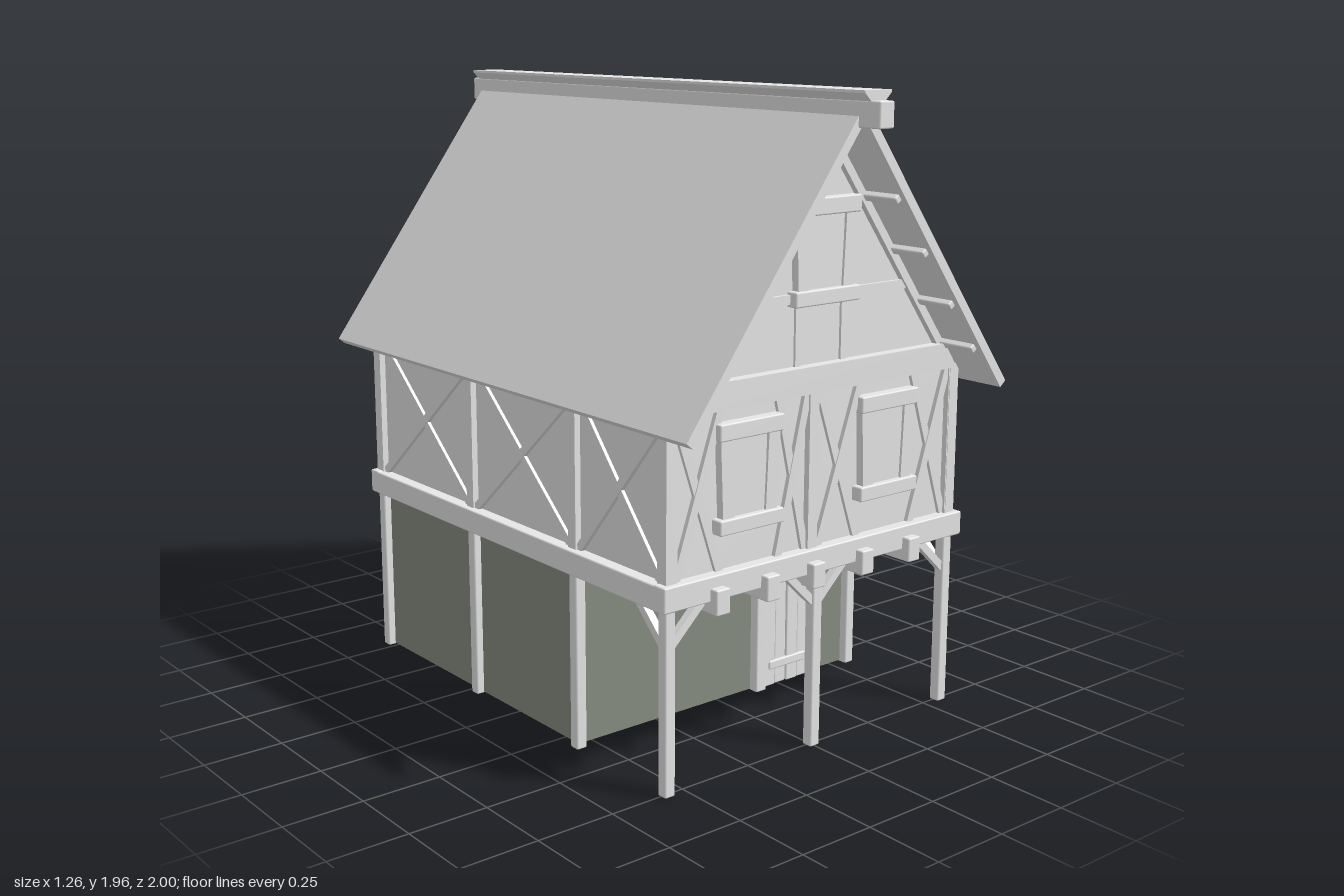
import * as THREE from 'three';
import { RoundedBoxGeometry } from 'three/addons/geometries/RoundedBoxGeometry.js';

const plaster = new THREE.MeshStandardMaterial({ color: 0xe7e7e7 });
plaster.name = 'pale timber and plaster';
const stone = new THREE.MeshStandardMaterial({ color: 0x878e81, side: THREE.DoubleSide });
stone.name = 'grey green wall';

function add(parent, name, geometry, material = plaster) {
  const mesh = new THREE.Mesh(geometry, material);
  mesh.name = name;
  parent.add(mesh);
  return mesh;
}

// Softly bevelled box given by its limits on each axis
function block(parent, name, [x0, x1], [y0, y1], [z0, z1]) {
  const size = [x1 - x0, y1 - y0, z1 - z0];
  const mesh = add(parent, name, new RoundedBoxGeometry(...size, 1, Math.min(0.005, Math.min(...size) / 4)));
  mesh.position.set((x0 + x1) / 2, (y0 + y1) / 2, (z0 + z1) / 2);
  return mesh;
}

// Timber between two points on a wall face, standing out from the wall by depth
function timber(parent, name, [x0, y0], [x1, y1], width, depth) {
  const length = Math.hypot(x1 - x0, y1 - y0);
  const mesh = add(parent, name, new THREE.BoxGeometry(length, width, depth * 2));
  mesh.position.set((x0 + x1) / 2, (y0 + y1) / 2, 0);
  mesh.rotation.z = Math.atan2(y1 - y0, x1 - x0);
  return mesh;
}

// Closed outline extruded along z
function prism(parent, name, points, z0, z1) {
  const shape = new THREE.Shape(points.map(([x, y]) => new THREE.Vector2(x, y)));
  const geometry = new THREE.ExtrudeGeometry(shape, { depth: z1 - z0, bevelEnabled: false });
  return add(parent, name, geometry.translate(0, 0, z0));
}

// Crossed diagonal braces between two uprights
function cross(face, x0, x1, top) {
  timber(face, 'crossBrace', [x0, 0.63], [x1, top], 0.026, 0.014);
  timber(face, 'crossBrace', [x0, top], [x1, 0.63], 0.026, 0.011);
}

// Shuttered window with heavy lintel and sill
function windowFrame(face, x, y0, y1, half) {
  const w = new THREE.Group();
  w.name = 'window';
  face.add(w);
  block(w, 'lintel', [x - half, x + half], [y1 - 0.05, y1], [-0.01, 0.035]);
  block(w, 'sill', [x - half, x + half], [y0, y0 + 0.045], [-0.01, 0.038]);
  for (const s of [-1, 1]) {
    timber(w, 'jamb', [x + s * (half - 0.04), y0 + 0.04], [x + s * (half - 0.03), y1 - 0.045], 0.042, 0.026);
  }
  block(w, 'shutter', [x - half + 0.05, x + half - 0.05], [y0 + 0.04, y1 - 0.045], [-0.01, 0.018]);
}

export function createModel() {
  const house = new THREE.Group();
  house.name = 'timberFrameHouse';
  const FRONT = 0.755, BACK = -0.78, SIDE = 0.56;

  // Upper storey and attic
  prism(house, 'upperWalls', [[-SIDE, 0.585], [SIDE, 0.585], [SIDE, 1.105], [0, 1.87], [-SIDE, 1.105]], BACK, FRONT);

  // Ground floor walls, open below
  const corners = [[-0.555, 0.325], [0.555, 0.325], [0.555, BACK], [-0.555, BACK]];
  corners.forEach(([x, z], i) => {
    const [nx, nz] = corners[(i + 1) % 4];
    const wall = add(house, 'groundWall', new THREE.PlaneGeometry(Math.hypot(nx - x, nz - z), 0.58), stone);
    wall.position.set((x + nx) / 2, 0.295, (z + nz) / 2);
    wall.rotation.y = i * Math.PI / 2;
  });

  // Ground floor posts
  for (const z of [0.755, 0.335, -0.215, -0.78]) {
    for (const x of [-0.562, 0, 0.562]) {
      if (x === 0 && (z === -0.215 || z === 0.335)) continue;
      block(house, 'groundPost', [x - 0.018, x + 0.018], [0, 0.57], [z - 0.018, z + 0.018]);
    }
  }

  // Belt beams and floor joists
  for (const s of [-1, 1]) {
    block(house, 'sideBelt', [s * 0.575 - 0.025, s * 0.575 + 0.025], [0.555, 0.63], [-0.81, 0.79]);
  }
  block(house, 'frontBelt', [-0.6, 0.6], [0.557, 0.632], [0.74, 0.792]);
  block(house, 'backBelt', [-0.6, 0.6], [0.557, 0.632], [-0.812, -0.765]);
  for (const x of [-0.41, -0.22, -0.04, 0.16, 0.36]) {
    block(house, 'joist', [x - 0.025, x + 0.025], [0.522, 0.598], [-0.83, 0.82]);
  }

  // Knee braces under the overhang
  const knees = new THREE.Group();
  knees.name = 'kneeBraces';
  knees.position.z = 0.755;
  house.add(knees);
  for (const [x, s] of [[-0.55, 1], [0, -1], [0, 1], [0.55, -1]]) {
    timber(knees, 'kneeBrace', [x, 0.45], [x + s * 0.12, 0.565], 0.024, 0.012);
  }
  for (const s of [-1, 1]) {
    const side = new THREE.Group();
    side.name = 'sideKnee';
    side.position.x = s * 0.56;
    side.rotation.y = Math.PI / 2;
    house.add(side);
    timber(side, 'kneeBrace', [-0.75, 0.44], [-0.62, 0.565], 0.024, 0.012);
  }

  // One group per wall face: x runs along the wall, z points outward
  const face = (name, x, z, turn) => {
    const g = new THREE.Group();
    g.name = name;
    g.position.set(x, 0, z);
    g.rotation.y = turn;
    house.add(g);
    return g;
  };
  const front = face('frontFraming', 0, FRONT, 0);
  const back = face('backFraming', 0, BACK, Math.PI);
  const right = face('plusSideFraming', SIDE, 0, Math.PI / 2);
  const left = face('minusSideFraming', -SIDE, 0, -Math.PI / 2);

  // Upper posts
  for (const x of [-0.562, -0.03, 0.562]) timber(front, 'upperPost', [x, 0.62], [x, 1.11], 0.037, 0.02);
  for (const x of [-0.562, 0, 0.562]) timber(back, 'upperPost', [x, 0.62], [x, 1.11], 0.037, 0.02);
  for (const z of [0.755, 0.335, -0.215, -0.78]) {
    timber(right, 'upperPost', [-z, 0.62], [-z, 1.11], 0.037, 0.02);
    timber(left, 'upperPost', [z, 0.62], [z, 1.11], 0.037, 0.02);
  }

  // Front: narrow crosses beside two windows
  for (const [a, b] of [[-0.54, -0.38], [-0.16, -0.05], [0, 0.16], [0.39, 0.54]]) cross(front, a, b, 1.1);
  windowFrame(front, -0.28, 0.74, 1.06, 0.12);
  windowFrame(front, 0.27, 0.74, 1.06, 0.12);

  // Back: two broad crosses
  cross(back, -0.54, -0.02, 1.1);
  cross(back, 0.02, 0.54, 1.1);

  // Side with windows, side without
  for (const [a, b] of [[-0.735, -0.355], [-0.315, -0.14], [0.14, 0.2], [0.23, 0.33], [0.59, 0.76]]) cross(right, a, b, 1.08);
  windowFrame(right, 0, 0.73, 1.055, 0.135);
  windowFrame(right, 0.45, 0.73, 1.055, 0.135);
  for (const [a, b] of [[-0.76, -0.235], [-0.195, 0.315], [0.355, 0.735]]) cross(left, a, b, 1.08);

  // Gables
  for (const g of [front, back]) {
    prism(g, 'gableTieBeam', [[-0.555, 1.1], [0.555, 1.1], [0.5, 1.18], [-0.5, 1.18]], -0.01, 0.035);
    timber(g, 'collarBeam', [-0.34, 1.377], [0.34, 1.377], 0.028, 0.012);
    for (const s of [-1, 1]) {
      timber(g, 'gableStud', [s * 0.09, 1.17], [s * 0.09, 1.37], 0.02, 0.008);
      timber(g, 'gableRafter', [s * 0.505, 1.165], [0, 1.855], 0.026, 0.02);
    }
    windowFrame(g, 0, 1.355, 1.66, 0.127);
  }

  // Door in the recessed front wall
  const door = face('door', 0, 0.325, 0);
  block(door, 'doorLintel', [0.115, 0.44], [0.445, 0.49], [-0.01, 0.045]);
  block(door, 'doorJamb', [0.137, 0.18], [0, 0.45], [-0.01, 0.032]);
  block(door, 'doorJamb', [0.375, 0.418], [0, 0.45], [-0.01, 0.032]);
  for (let i = 0; i < 4; i++) {
    const x = 0.18 + i * 0.049;
    block(door, 'doorPlank', [x, x + 0.048], [0.004, 0.445], [-0.005, i % 2 ? 0.016 : 0.02]);
  }
  for (const y of [0.06, 0.36]) block(door, 'doorBatten', [0.2, 0.36], [y, y + 0.03], [0, 0.025]);

  // Roof slabs and the purlins beneath them
  for (const s of [-1, 1]) {
    const slab = [[0, 1.93], [s * 0.63, 1.07], [s * 0.608, 1.052], [0, 1.882]];
    prism(house, 'roofSlab', s > 0 ? slab.reverse() : slab, -0.95, 0.92);
    for (const x of [0.16, 0.28, 0.4, 0.505]) {
      const purlin = block(house, 'purlin', [-0.012, 0.012], [-0.012, 0.012], [-0.93, 0.9]);
      purlin.position.x = s * x;
      purlin.position.y = 1.87 - 1.365 * x;
      purlin.rotation.z = -s * 0.94;
    }
  }

  // Ridge beam with flared cap
  block(house, 'ridgeBeam', [-0.028, 0.028], [1.86, 1.935], [-1, 1]);
  prism(house, 'ridgeCap', [[-0.026, 1.932], [0.026, 1.932], [0.05, 1.955], [0.05, 1.963], [-0.05, 1.963], [-0.05, 1.955]], -0.965, 0.965);

  return house;
}
